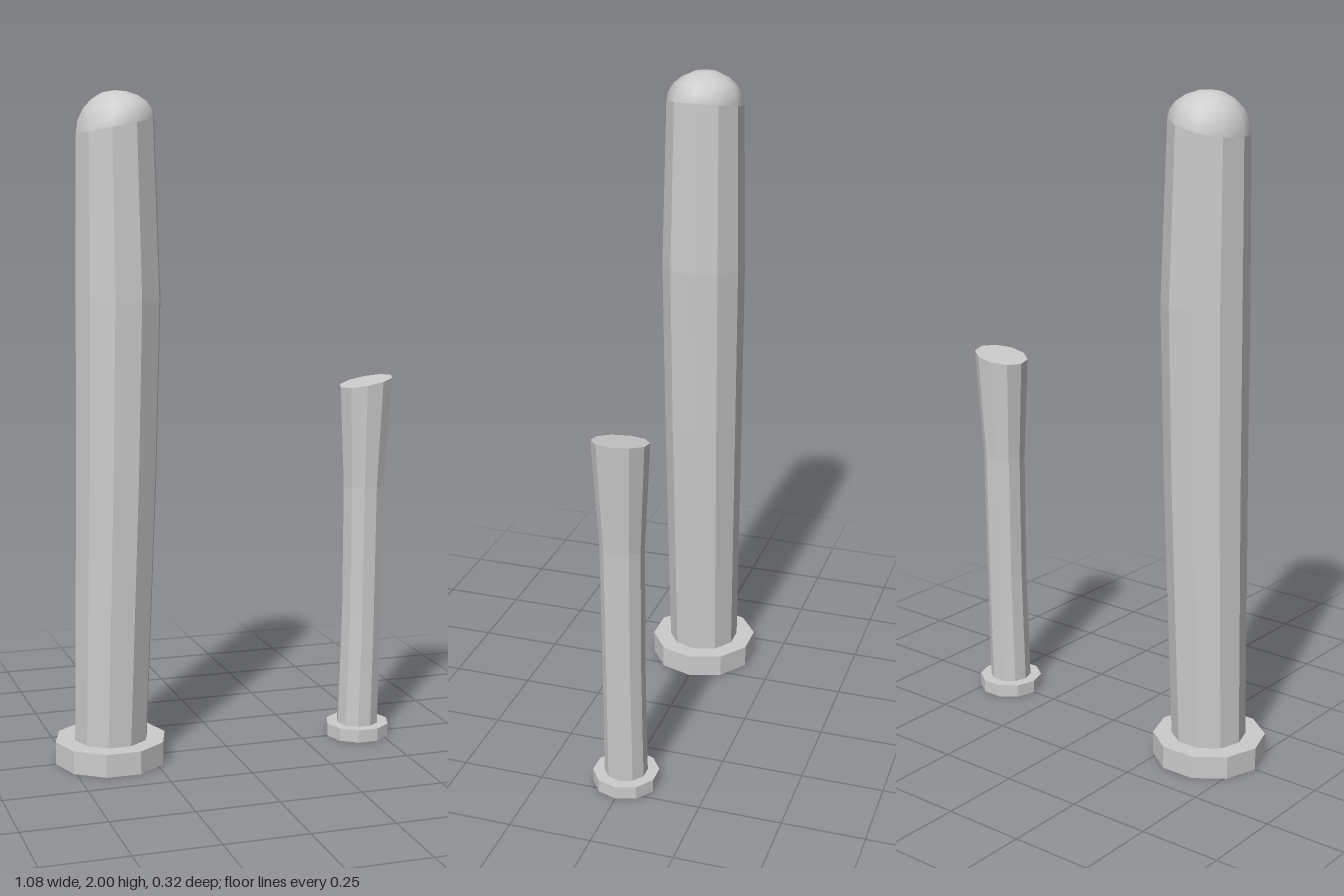
import * as THREE from 'three';
import { mergeVertices } from 'three/addons/utils/BufferGeometryUtils.js';

const SIDES = 10;

// Skin over decagonal rings; each ring is [centreX, y, radius, slope of the ring along x]
function loft(rings) {
  const positions = [], index = [];
  rings.forEach(([cx, y, r, slope = 0], j) => {
    for (let i = 0; i < SIDES; i++) {
      const a = (i / SIDES) * Math.PI * 2;
      const dx = r * Math.cos(a);
      positions.push(cx + dx, y + slope * dx, -r * Math.sin(a));
      if (j === 0) continue;
      const n = (i + 1) % SIDES, lo = (j - 1) * SIDES, hi = j * SIDES;
      index.push(lo + i, lo + n, hi + n, lo + i, hi + n, hi + i);
    }
  });
  const geometry = new THREE.BufferGeometry();
  geometry.setAttribute('position', new THREE.Float32BufferAttribute(positions, 3));
  geometry.setIndex(index);
  const merged = mergeVertices(geometry);
  merged.computeVertexNormals();
  return merged;
}

export function createModel() {
  const group = new THREE.Group();
  const faceted = new THREE.MeshStandardMaterial({ color: 0xcccccc, flatShading: true, side: THREE.DoubleSide });
  const smooth = new THREE.MeshStandardMaterial({ color: 0xcccccc, side: THREE.DoubleSide });

  const add = (name, rings, material = faceted) => {
    const mesh = new THREE.Mesh(loft(rings), material);
    mesh.name = name;
    group.add(mesh);
  };

  // Tall post: hollow foot, gently bent shaft with a slanted top
  add('tallFoot', [[-0.37, 0, 0.17], [-0.37, 0.07, 0.17], [-0.368, 0.07, 0.112]]);
  add('tallShaft', [
    [-0.368, 0.07, 0.112],
    [-0.344, 0.87, 0.123],
    [-0.333, 1.4, 0.128],
    [-0.338, 1.9, 0.117, 0.2],
  ]);

  // Rounded cap whose slant fades out towards the tip
  const dome = [];
  for (let k = 0; k <= 5; k++) {
    const t = (k / 5) * Math.PI / 2;
    dome.push([-0.338, 1.9 + 0.1 * Math.sin(t), 0.117 * Math.cos(t), 0.2 * (1 - k / 5)]);
  }
  add('tallDome', dome, smooth);

  // Short post: same foot, flared shaft closed by a flat slanted cap
  add('shortFoot', [[0.435, 0, 0.1], [0.435, 0.04, 0.1], [0.435, 0.04, 0.065]]);
  add('shortShaft', [
    [0.435, 0.04, 0.065],
    [0.444, 0.4, 0.063],
    [0.447, 0.8, 0.065],
    [0.452, 1.127, 0.083, 0.2],
  ]);
  add('shortCap', [[0.452, 1.127, 0.083, 0.2], [0.452, 1.127, 0]]);

  return group;
}
